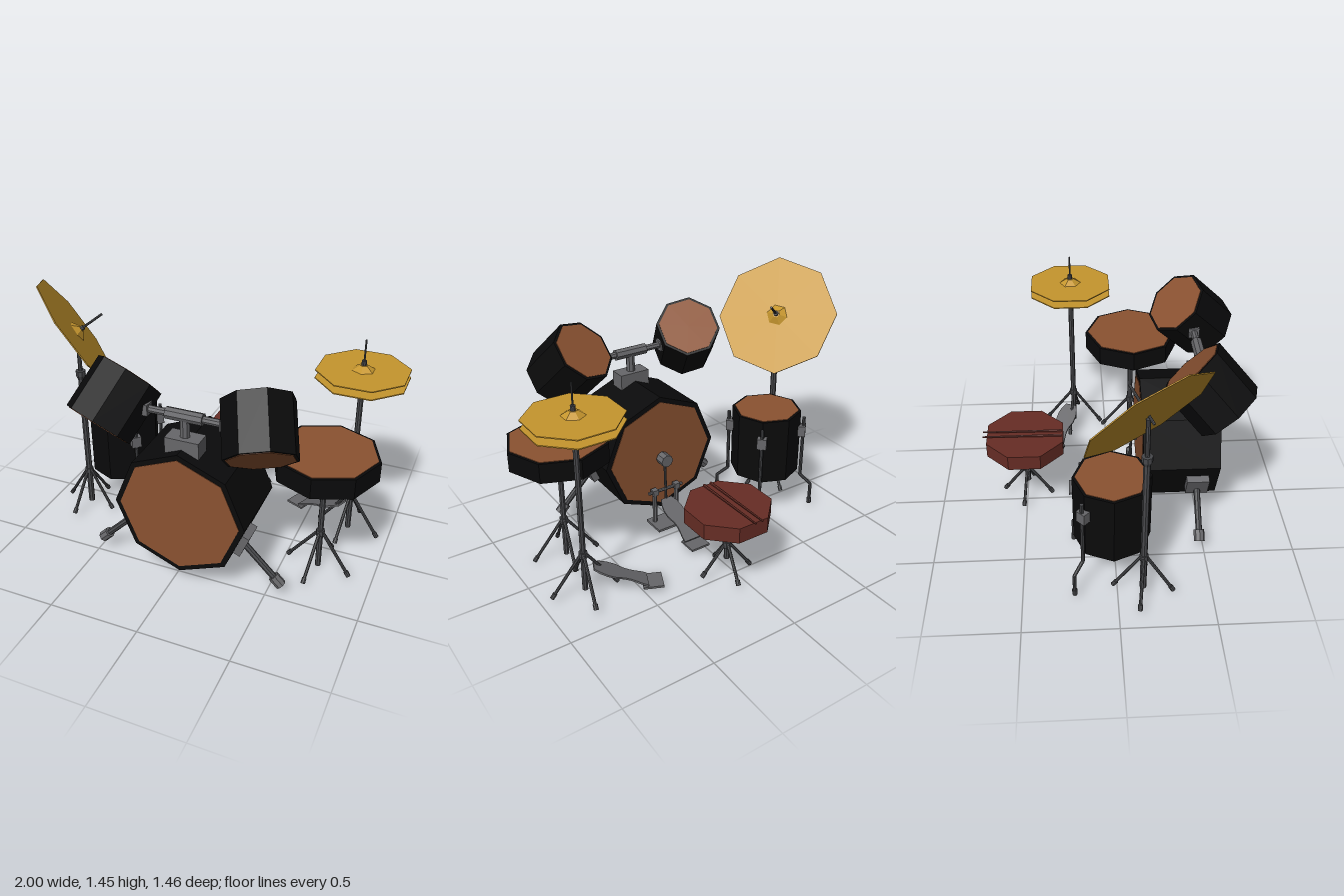
import * as THREE from 'three';

const mat = (name, color) => {
  const m = new THREE.MeshStandardMaterial({ color, flatShading: true });
  m.name = name;
  return m;
};
const V = (x, y, z) => new THREE.Vector3(x, y, z);

export function createModel() {
  const black = mat('black shell', 0x0a0a0b);
  const skin = mat('brown drum head', 0x8b5231);
  const gold = mat('brass', 0xc6962e);
  const grey = mat('grey metal', 0x67676a);
  const dark = mat('dark metal', 0x48494c);
  const red = mat('red leather', 0x672d25);

  const model = new THREE.Group();
  model.name = 'drumKit';
  const group = (name, parent = model) => {
    const g = new THREE.Group();
    g.name = name;
    parent.add(g);
    return g;
  };
  const mesh = (name, geo, m, parent, pos = [0, 0, 0]) => {
    const o = new THREE.Mesh(geo, m);
    o.name = name;
    o.position.set(...pos);
    parent.add(o);
    return o;
  };
  const box = (name, size, pos, m, parent) =>
    mesh(name, new THREE.BoxGeometry(...size), m, parent, pos);
  const disc = (name, r1, r2, h, y, m, parent, sides = 8) =>
    mesh(name, new THREE.CylinderGeometry(r1, r2, h, sides), m, parent, [0, y, 0]);

  // Straight bar between two points
  const rod = (name, a, b, r, m, parent, rEnd = r, sides = 8) => {
    const p = V(...a), q = V(...b), d = q.clone().sub(p);
    const o = mesh(name, new THREE.CylinderGeometry(rEnd, r, d.length(), sides), m, parent);
    o.position.copy(p).add(q).multiplyScalar(0.5);
    o.quaternion.setFromUnitVectors(V(0, 1, 0), d.normalize());
    return o;
  };
  // Turn a group so its y axis follows axis and a polygon corner points along corner
  const orient = (g, axis, corner) => {
    const y = V(...axis).normalize();
    const x = V(...corner).addScaledVector(y, -V(...corner).dot(y)).normalize();
    g.quaternion.setFromRotationMatrix(
      new THREE.Matrix4().makeBasis(x, y, x.clone().cross(y)));
  };

  // Eight-sided drum with a head on both ends
  const drum = (name, r, h, pos, axis, corner, rim) => {
    const g = group(name);
    g.position.set(...pos);
    orient(g, axis, corner);
    disc('shell', r, r, h, 0, black, g);
    for (const s of [-1, 1]) disc('head', r - rim, r - rim, 0.006, s * h / 2, skin, g);
    return g;
  };
  drum('bassDrum', 0.362, 0.424, [0.05, 0.45, 0.378], [0, 0, 1], [0, 1, 0], 0.03);
  drum('snareDrum', 0.282, 0.112, [0.693, 0.688, 0.163], [0, 1, 0], [1, 0, 0], 0.015);
  drum('floorTom', 0.204, 0.396, [-0.58, 0.452, -0.02], [0, 1, 0], [1, 0, 0], 0.015);
  for (const s of [-1, 1])
    drum('rackTom', 0.188, 0.3, [0.05 + s * 0.39, 0.992, 0.49],
      [-s * 0.3, 0.7, -0.65], [-s * 0.058, 0.105, 0.14], 0.015);

  // Rack tom holder
  const holder = group('tomHolder');
  box('holderBase', [0.185, 0.1, 0.1], [0.05, 0.815, 0.487], grey, holder);
  rod('holderPost', [0.05, 0.85, 0.487], [0.05, 0.97, 0.487], 0.026, grey, holder);
  rod('holderSleeve', [-0.05, 0.98, 0.487], [0.15, 0.98, 0.487], 0.032, grey, holder);
  rod('holderBar', [-0.2, 0.98, 0.487], [0.3, 0.98, 0.487], 0.02, grey, holder);
  for (const s of [-1, 1])
    box('holderClamp', [0.035, 0.06, 0.06], [0.05 + s * 0.21, 0.98, 0.487], grey, holder);

  // Bass drum spurs
  for (const s of [-1, 1]) {
    const spur = group('bassSpur');
    const plate = box('spurPlate', [0.06, 0.13, 0.125], [0.05 + s * 0.315, 0.31, 0.472], grey, spur);
    plate.rotation.z = -s * Math.PI / 8;
    rod('spurLeg', [0.05 + s * 0.31, 0.29, 0.472], [0.05 + s * 0.5, 0.1, 0.472], 0.018, dark, spur);
    rod('spurFoot', [0.05 + s * 0.485, 0.115, 0.472], [0.05 + s * 0.53, 0.07, 0.472], 0.03, grey, spur);
  }

  // Floor tom legs
  for (const [sx, sz] of [[1, 1], [1, -1], [-1, -1]]) {
    const leg = group('floorTomLeg');
    const at = (r, y) => [-0.58 + sx * r, y, -0.02 + sz * r];
    const bracket = box('legBracket', [0.055, 0.065, 0.055], at(0.148, 0.525), grey, leg);
    bracket.rotation.y = Math.PI / 4;
    rod('legUpper', at(0.158, 0.61), at(0.158, 0.22), 0.01, dark, leg);
    rod('legBend', at(0.158, 0.22), at(0.205, 0.16), 0.01, dark, leg);
    rod('legLower', at(0.205, 0.16), at(0.205, 0.03), 0.01, dark, leg);
    rod('legFoot', at(0.205, 0.06), at(0.205, 0.025), 0.014, dark, leg);
  }

  // Centre pole with splayed feet; tubes are [from, to, radius]
  const stand = (name, x, z, tubes, collarY, hubY, spread, footY) => {
    const g = group(name);
    g.position.set(x, 0, z);
    for (const [a, b, r] of tubes) rod('pole', [0, a, 0], [0, b, 0], r, dark, g);
    if (collarY) {
      disc('collar', 0.028, 0.028, 0.03, collarY, dark, g);
      disc('collarTaper', 0.028, 0.018, 0.025, collarY - 0.027, dark, g);
    }
    disc('hub', 0.024, 0.024, 0.035, hubY, dark, g);
    for (let i = 0; i < 4; i++) {
      const t = i * Math.PI / 2 + 0.17, c = Math.cos(t), s = Math.sin(t);
      const at = (r, y) => [c * r, y, s * r];
      rod('leg', at(0.015, hubY), at(spread, footY + 0.008), 0.009, dark, g);
      rod('foot', at(spread - 0.012, footY + 0.025), at(spread + 0.006, footY), 0.013, dark, g);
    }
    return g;
  };
  stand('snareStand', 0.693, 0.163, [[0.005, 0.635, 0.016]], 0, 0.23, 0.178, 0.005);
  stand('seatStand', 0.05, -0.49, [[0.11, 0.38, 0.016]], 0, 0.2, 0.14, 0.025);
  stand('crashStand', -0.755, 0.135, [[0.03, 0.9, 0.018], [0.9, 1.13, 0.012]], 0.9, 0.25, 0.155, 0.025);
  stand('hiHatStand', 0.765, -0.207,
    [[0.03, 0.95, 0.016], [0.95, 1.1, 0.011], [1.08, 1.222, 0.005]], 0.95, 0.25, 0.175, 0.025);

  // Cymbals: thin octagon with a small six-sided bell
  const plate = (r, y, g) => disc('cymbalPlate', r, r, 0.006, y, gold, g);
  const bell = (g) => disc('cymbalBell', 0.022, 0.066, 0.028, 0.015, gold, g, 6);
  const crash = group('crashCymbal');
  crash.position.set(-0.755, 1.15, 0.135);
  orient(crash, [0.69, 0.54, -0.48], [0.068, 0.18, 0.3]);
  plate(0.352, 0, crash);
  bell(crash);
  rod('crashRod', [0, -0.05, 0], [0, 0.17, 0], 0.007, dark, crash);
  disc('crashNut', 0.014, 0.014, 0.02, 0.035, dark, crash);

  const hat = group('hiHatCymbals');
  hat.position.set(0.765, 1.05, -0.207);
  for (const y of [0, -0.045]) plate(0.254, y, hat).rotation.y = Math.PI / 8;
  bell(hat);
  disc('hatClutch', 0.014, 0.014, 0.03, 0.04, dark, hat);

  // Seat with a pair of sticks lying on it
  const seat = group('seat');
  seat.position.set(0.05, 0, -0.49);
  disc('cushion', 0.236, 0.236, 0.088, 0.411, red, seat).rotation.y = Math.PI / 8;
  for (const x of [-0.038, 0.006])
    rod('drumstick', [x, 0.463, 0.21], [x, 0.466, -0.24], 0.008, red, seat, 0.005, 6);

  // Foot pedals, heel at the origin and toe towards +z
  const pedal = (name, x, z, turn) => {
    const g = group(name);
    g.position.set(x, 0, z);
    g.rotation.y = turn;
    box('heelPlate', [0.12, 0.012, 0.11], [0, 0.03, 0.055], grey, g);
    const s = new THREE.Shape();
    s.moveTo(-0.055, 0);
    s.bezierCurveTo(-0.055, 0.06, -0.035, 0.08, -0.045, 0.14);
    s.bezierCurveTo(-0.075, 0.2, -0.06, 0.27, -0.035, 0.31);
    s.lineTo(0.035, 0.31);
    s.bezierCurveTo(0.06, 0.27, 0.075, 0.2, 0.045, 0.14);
    s.bezierCurveTo(0.035, 0.08, 0.055, 0.06, 0.055, 0);
    const geo = new THREE.ExtrudeGeometry(s, { depth: 0.01, bevelEnabled: false, curveSegments: 4 });
    geo.rotateX(Math.PI / 2);
    const board = mesh('footboard', geo, grey, g, [0, 0.046, 0.08]);
    board.rotation.x = -0.43;
    return g;
  };
  pedal('hiHatPedal', 0.385, -0.37, 1.16);
  const kick = pedal('bassPedal', 0.05, -0.25, 0);

  // Bass pedal frame and beater
  box('pedalBase', [0.22, 0.014, 0.14], [0, 0.028, 0.34], grey, kick);
  for (const s of [-1, 1]) {
    rod('pedalPost', [s * 0.075, 0.03, 0.37], [s * 0.075, 0.24, 0.37], 0.014, grey, kick);
    box('postCap', [0.035, 0.035, 0.035], [s * 0.075, 0.235, 0.37], grey, kick);
  }
  rod('pedalAxle', [-0.115, 0.235, 0.37], [0.115, 0.235, 0.37], 0.01, grey, kick);
  rod('beaterRod', [0, 0.17, 0.365], [0, 0.43, 0.375], 0.008, dark, kick);
  rod('beater', [0, 0.43, 0.345], [0, 0.43, 0.405], 0.038, grey, kick);

  return model;
}
